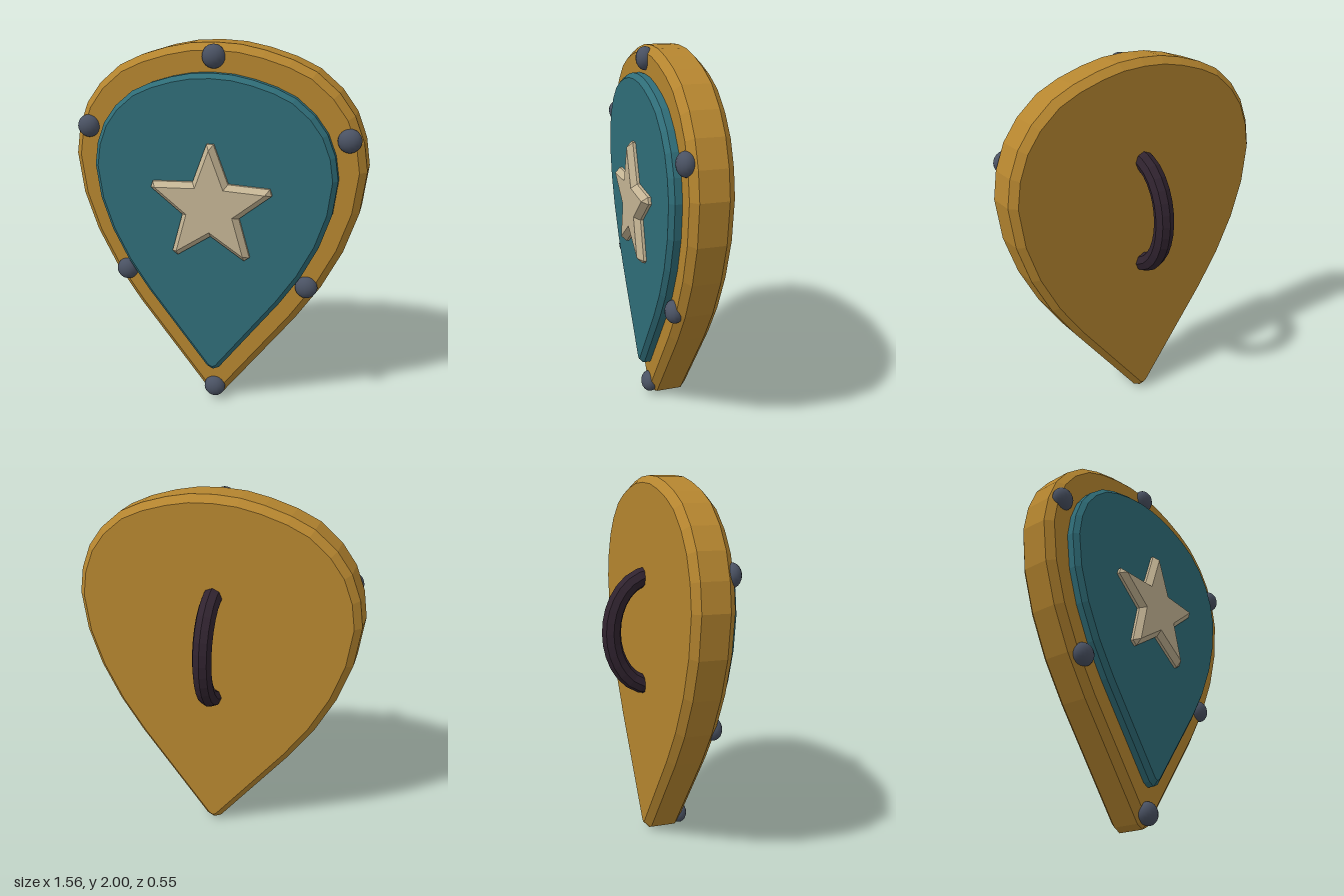
import * as THREE from 'three';

const mat = (name, color, flatShading = false) => {
  const m = new THREE.MeshStandardMaterial({ color, flatShading });
  m.name = name;
  return m;
};

// Right half of the teardrop outline, from the top down to the tip
const HALF = [
  [0, 2], [0.13, 1.993], [0.255, 1.968], [0.39, 1.927], [0.51, 1.872], [0.625, 1.775],
  [0.705, 1.667], [0.757, 1.535], [0.78, 1.39], [0.753, 1.17], [0.683, 0.957],
  [0.577, 0.746], [0.446, 0.55], [0.042, 0.021], [0, 0],
];

function teardrop(scale, lift) {
  const left = HALF.slice(1, -1).reverse().map(([x, y]) => [-x, y]);
  const pts = [...HALF, ...left].map(([x, y]) => new THREE.Vector2(x * scale, y * scale + lift));
  return new THREE.Shape(pts.reverse());
}

// Five-pointed star with blunt tips
function star(outer, inner, blunt) {
  const pts = [];
  for (let i = 0; i < 5; i++) {
    const a = Math.PI / 2 + (i * Math.PI * 2) / 5;
    const b = a + Math.PI / 5;
    const c = Math.cos(a), s = Math.sin(a);
    pts.push(new THREE.Vector2(c * outer + s * blunt, s * outer - c * blunt));
    pts.push(new THREE.Vector2(c * outer - s * blunt, s * outer + c * blunt));
    pts.push(new THREE.Vector2(Math.cos(b) * inner, Math.sin(b) * inner));
  }
  return new THREE.Shape(pts);
}

// Bevelled slab whose widest outline is the given shape, between two z depths
function slab(name, shape, back, front, bevelSize, bevelThickness, material) {
  const geo = new THREE.ExtrudeGeometry(shape, {
    depth: front - back - 2 * bevelThickness,
    bevelEnabled: true, bevelSegments: 1,
    bevelSize, bevelThickness, bevelOffset: -bevelSize,
  });
  geo.translate(0, 0, back + bevelThickness);
  const mesh = new THREE.Mesh(geo, material);
  mesh.name = name;
  return mesh;
}

export function createModel() {
  const gold = mat('gold', 0xb5852f, true);
  const teal = mat('teal', 0x2f6d78, true);
  const ivory = mat('ivory', 0xc4b494, true);
  const iron = mat('iron', 0x4a5263);
  const leather = mat('dark leather', 0x30232f, true);

  const shield = new THREE.Group();
  shield.name = 'shield';

  // Body, raised field and star emblem
  shield.add(slab('body', teardrop(1, 0), -0.045, 0.17, 0.036, 0.036, gold));
  shield.add(slab('field', teardrop(0.828, 0.202), 0.1, 0.23, 0.024, 0.024, teal));
  const emblem = slab('starEmblem', star(0.333, 0.16, 0.018), 0.2, 0.275, 0.026, 0.03, ivory);
  emblem.position.y = 1.175;
  shield.add(emblem);

  // Rivets around the rim
  const rivetGeo = new THREE.SphereGeometry(0.06, 16, 12);
  const rivets = [[0, 1.935], [0.688, 1.55], [-0.688, 1.55], [0.503, 0.75], [-0.503, 0.75], [0, 0.073]];
  rivets.forEach(([x, y], i) => {
    const rivet = new THREE.Mesh(rivetGeo, iron);
    rivet.name = `rivet${i + 1}`;
    rivet.position.set(x, y, 0.168);
    rivet.scale.z = 0.8;
    shield.add(rivet);
  });

  // Curved grip on the back, its ends sunk into the body
  const arc = [];
  for (let i = 0; i <= 12; i++) {
    const a = (i / 12) * Math.PI;
    arc.push(new THREE.Vector3(0, 1.17 + 0.305 * Math.cos(a), -0.222 * Math.sin(a)));
  }
  const handle = new THREE.Mesh(
    new THREE.TubeGeometry(new THREE.CatmullRomCurve3(arc), 14, 0.053, 8), leather);
  handle.name = 'handle';
  shield.add(handle);

  return shield;
}
